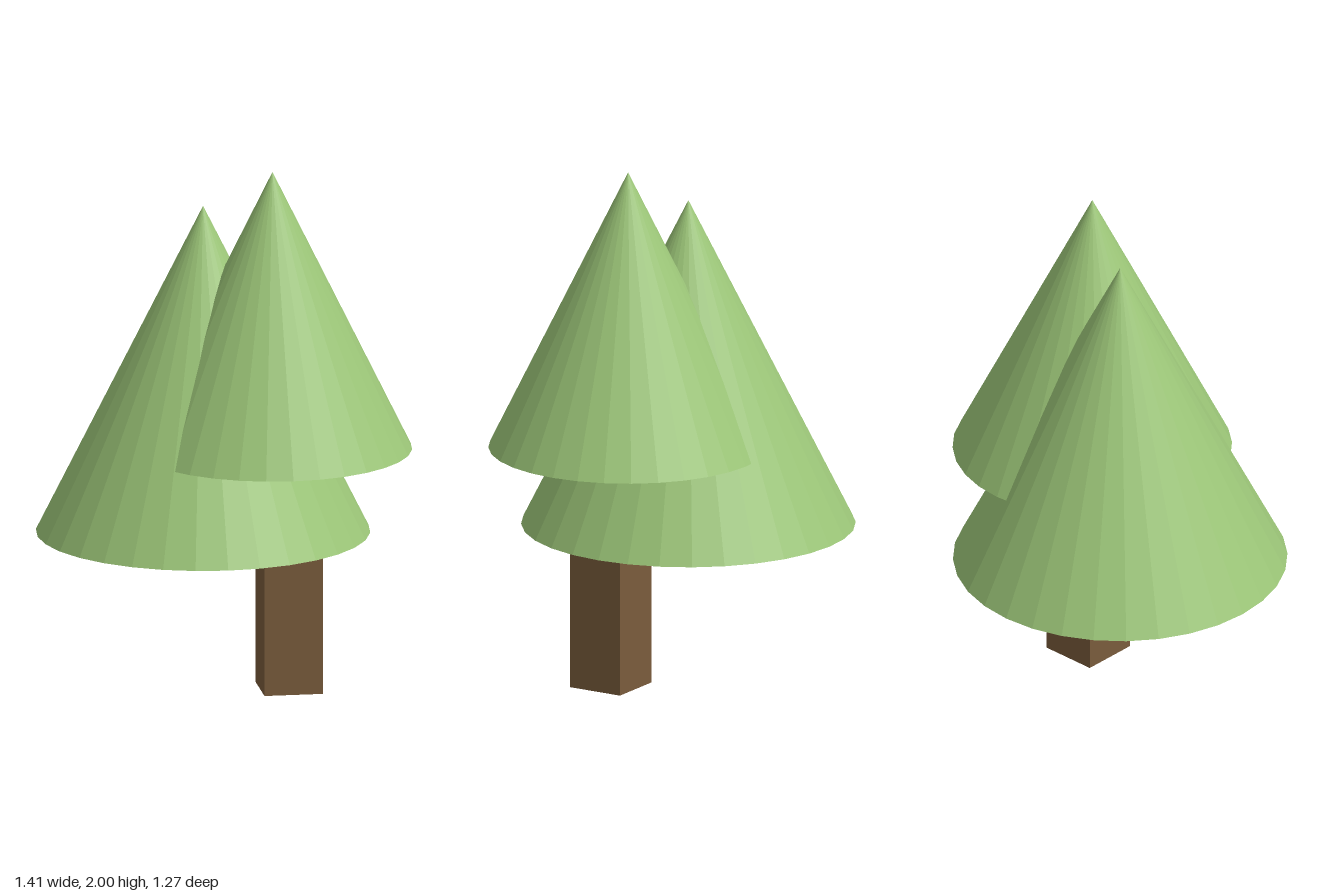
import * as THREE from 'three';

export function createModel() {
  const group = new THREE.Group();
  const leafGreen = new THREE.MeshStandardMaterial({ name: 'leafGreen', color: 0x9cc678, flatShading: true });
  const barkBrown = new THREE.MeshStandardMaterial({ name: 'barkBrown', color: 0x7a5c3c, flatShading: true });

  // Square trunk, set off-centre and reaching up into the upper foliage
  const trunk = new THREE.Mesh(new THREE.BoxGeometry(0.223, 1.2, 0.223), barkBrown);
  trunk.name = 'trunk';
  trunk.position.set(0.232, 0.6, 0.148);
  group.add(trunk);

  // Closed foliage cone standing on its base height
  function addFoliage(name, radius, base, top, x, z) {
    const cone = new THREE.Mesh(new THREE.ConeGeometry(radius, top - base, 32), leafGreen);
    cone.name = name;
    cone.position.set(x, (base + top) / 2, z);
    group.add(cone);
  }
  addFoliage('lowerFoliage', 0.632, 0.586, 1.85, -0.074, -0.004);
  addFoliage('upperFoliage', 0.528, 0.926, 2.0, 0.174, 0.108);

  return group;
}
